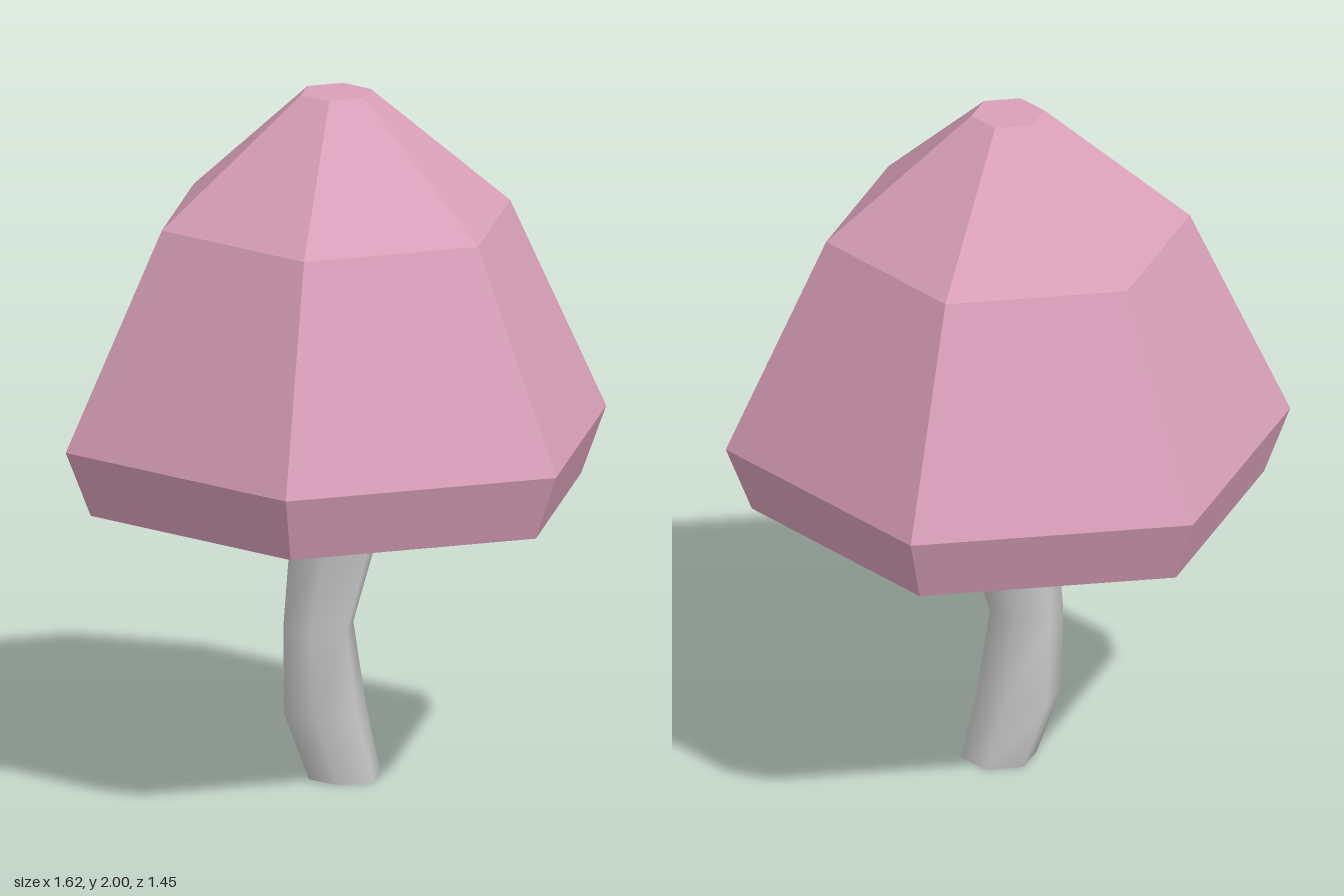
import * as THREE from 'three';

const SIDES = 6;

// Loft six-sided rings, listed bottom to top as [y, halfX, frontZ, centreX, cornerX]
function loft(rings, flat) {
  const pos = [], idx = [];
  const corners = ([y, hx, fz, cx = 0, kx = hx / 2]) => [
    [cx + hx, y, 0], [cx + kx, y, fz], [cx - kx, y, fz],
    [cx - hx, y, 0], [cx - kx, y, -fz], [cx + kx, y, -fz],
  ];
  rings.forEach((r) => corners(r).forEach((p) => pos.push(...p)));
  for (let r = 0; r < rings.length - 1; r++) {
    for (let i = 0; i < SIDES; i++) {
      const a = r * SIDES + i, b = r * SIDES + (i + 1) % SIDES;
      idx.push(a, a + SIDES, b, b, a + SIDES, b + SIDES);
    }
  }
  // Separate end faces, so the rims stay sharp
  [rings[0], rings[rings.length - 1]].forEach((ring, end) => {
    const start = pos.length / 3;
    corners(ring).forEach((p) => pos.push(...p));
    for (let i = 1; i < SIDES - 1; i++) {
      if (end) idx.push(start, start + i + 1, start + i);
      else idx.push(start, start + i, start + i + 1);
    }
  });
  let geo = new THREE.BufferGeometry();
  geo.setAttribute('position', new THREE.Float32BufferAttribute(pos, 3));
  geo.setIndex(idx);
  if (flat) geo = geo.toNonIndexed();
  geo.computeVertexNormals();
  return geo;
}

export function createModel() {
  const pink = new THREE.MeshStandardMaterial({ color: 0xd9a0b8 });
  pink.name = 'pink';
  const grey = new THREE.MeshStandardMaterial({ color: 0xc8c8c8 });
  grey.name = 'pale grey';

  const model = new THREE.Group();
  model.name = 'mushroom';
  const add = (name, geometry, material) => {
    const mesh = new THREE.Mesh(geometry, material);
    mesh.name = name;
    model.add(mesh);
  };

  // Faceted cap with a flat tip and an inward-sloping rim
  add('cap', loft([
    [0.825, 0.735, 0.66],
    [1.015, 0.81, 0.725],
    [1.64, 0.522, 0.47],
    [2, 0.105, 0.092],
  ], true), pink);

  // Flared skirt tucked under the cap
  add('skirt', loft([
    [0.725, 0.37, 0.263, 0, 0.185],
    [0.84, 0.265, 0.27, 0, 0.1],
  ], true), grey);

  // Bent stem with smooth sides
  add('stem', loft([
    [0, 0.108, 0.092, 0.027],
    [0.195, 0.123, 0.106, -0.032],
    [0.45, 0.105, 0.09, -0.053],
    [0.74, 0.137, 0.117, 0.002],
  ], false), grey);

  return model;
}
